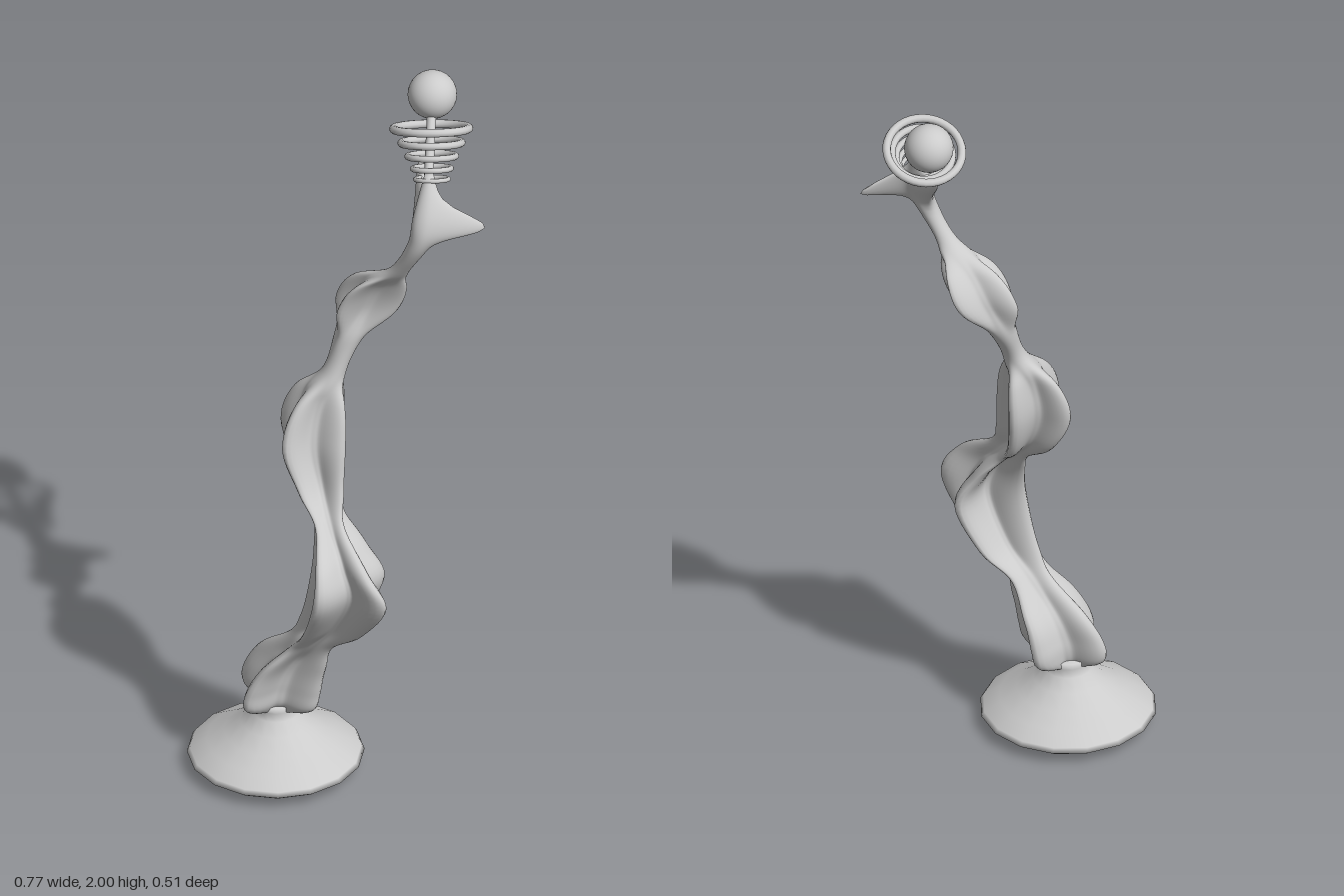
import * as THREE from 'three';

const material = new THREE.MeshStandardMaterial({ color: 0xcccccc });

// Stem sections: height, x min, x max, z min, z max
const sections = [
  [0.175, -0.20, -0.11, -0.06, 0.03],
  [0.21, -0.236, -0.062, -0.09, 0.07],
  [0.26, -0.233, -0.048, -0.093, 0.076],
  [0.33, -0.197, -0.036, -0.072, 0.083],
  [0.42, -0.125, -0.01, 0, 0.11],
  [0.50, -0.09, 0.06, 0.045, 0.17],
  [0.63, -0.067, 0.119, 0.07, 0.25],
  [0.72, -0.058, 0.075, 0.056, 0.23],
  [0.80, -0.06, 0.02, 0.01, 0.13],
  [0.88, -0.10, 0.015, -0.08, 0.068],
  [0.99, -0.138, 0.019, -0.123, 0.038],
  [1.10, -0.106, 0.022, -0.12, 0.005],
  [1.18, -0.035, 0.028, -0.096, -0.025],
  [1.27, -0.006, 0.072, -0.118, -0.037],
  [1.37, 0.007, 0.155, -0.133, -0.037],
  [1.45, 0.05, 0.182, -0.10, -0.018],
  [1.52, 0.135, 0.19, -0.025, 0.02],
  [1.62, 0.182, 0.24, 0.005, 0.065],
  [1.70, 0.197, 0.27, -0.005, 0.058],
  [1.80, 0.228, 0.252, -0.036, -0.006],
];

// Smooth interpolation of one column of the section table
function sample(column, u) {
  const i = Math.min(Math.floor(u), sections.length - 2), f = u - i;
  const at = k => sections[THREE.MathUtils.clamp(k, 0, sections.length - 1)][column];
  const [a, b, c, d] = [at(i - 1), at(i), at(i + 1), at(i + 2)];
  return b + 0.5 * f * (c - a + f * (2 * a - 5 * b + 4 * c - d + f * (3 * (b - c) + d - a)));
}

function stemGeometry() {
  const sides = 80, detail = 7, steps = (sections.length - 1) * detail, positions = [], index = [];
  // The first and last rings collapse to a point and close the ends
  for (let r = 0; r <= steps + 2; r++) {
    const u = THREE.MathUtils.clamp((r - 1) / detail, 0, sections.length - 1);
    const [y, x0, x1, z0, z1] = [0, 1, 2, 3, 4].map(c => sample(c, u));
    const size = r === 0 || r === steps + 2 ? 0 : 1;
    // Wide sections become four-pointed stars, narrow ones stay round
    const star = THREE.MathUtils.smoothstep(Math.max(x1 - x0, z1 - z0), 0.07, 0.15);
    // Grooves between the points are deepest around the second bulge
    const groove = 0.62 - 0.2 * Math.exp(-(((y - 0.63) / 0.22) ** 2));
    const flare = size * Math.exp(-(((y - 1.69) / 0.038) ** 2));
    for (let s = 0; s < sides; s++) {
      const t = (s / sides) * Math.PI * 2, c = Math.cos(t), n = Math.sin(t);
      const pointed = groove + (Math.SQRT2 - groove) * Math.abs(Math.sin(2 * t)) ** 4;
      const radius = size * THREE.MathUtils.lerp(1, pointed, star);
      // Two drawn-out horns near the top
      const sideHorn = flare * Math.max(0, Math.cos(t - 0.5)) ** 6;
      const backHorn = flare * Math.max(0, Math.cos(t - Math.PI * 1.4)) ** 7;
      positions.push(
        (x0 + x1) / 2 + (x1 - x0) / 2 * radius * c + 0.12 * sideHorn,
        y - 0.02 * sideHorn + 0.09 * backHorn,
        (z0 + z1) / 2 + (z1 - z0) / 2 * radius * n - 0.012 * sideHorn - 0.143 * backHorn);
    }
  }
  for (let r = 0; r < steps + 2; r++) {
    for (let s = 0; s < sides; s++) {
      const a = r * sides + s, b = r * sides + (s + 1) % sides;
      index.push(a, a + sides, b, a + sides, b + sides, b);
    }
  }
  const geometry = new THREE.BufferGeometry();
  geometry.setAttribute('position', new THREE.Float32BufferAttribute(positions, 3));
  geometry.setIndex(index);
  geometry.computeVertexNormals();
  return geometry;
}

export function createModel() {
  const model = new THREE.Group();
  const add = (name, geometry, x = 0, y = 0, z = 0) => {
    const mesh = new THREE.Mesh(geometry, material);
    mesh.name = name;
    mesh.position.set(x, y, z);
    model.add(mesh);
    return mesh;
  };

  // Flared foot
  const profile = [[0, 0], [0.12, 0.008], [0.205, 0.018], [0.23, 0.035], [0.222, 0.047], [0.18, 0.073],
    [0.135, 0.1], [0.092, 0.13], [0.062, 0.16], [0.054, 0.18], [0.06, 0.2], [0, 0.205]];
  add('base', new THREE.LatheGeometry(profile.map(p => new THREE.Vector2(...p)), 16), -0.157, 0, -0.015);

  // Winding four-ridged stem
  add('stem', stemGeometry());

  // Five tilted rings widening upward
  for (let i = 0; i < 5; i++) {
    const f = i / 4;
    const torus = new THREE.TorusGeometry(0.043 + 0.055 * f ** 1.5, 0.006 + 0.005 * f, 10, 40);
    const ring = add('ring' + (i + 1), torus, 0.248, 1.772 + 0.107 * f, -0.042 - 0.076 * f ** 1.5);
    ring.rotation.x = -Math.PI / 2 - 0.45;
  }

  // Rod and ball
  const rodPath = new THREE.LineCurve3(new THREE.Vector3(0.238, 1.77, -0.02), new THREE.Vector3(0.253, 1.93, -0.19));
  add('rod', new THREE.TubeGeometry(rodPath, 1, 0.012, 12));
  add('ball', new THREE.SphereGeometry(0.064, 32, 20), 0.253, 1.936, -0.193);
  return model;
}
